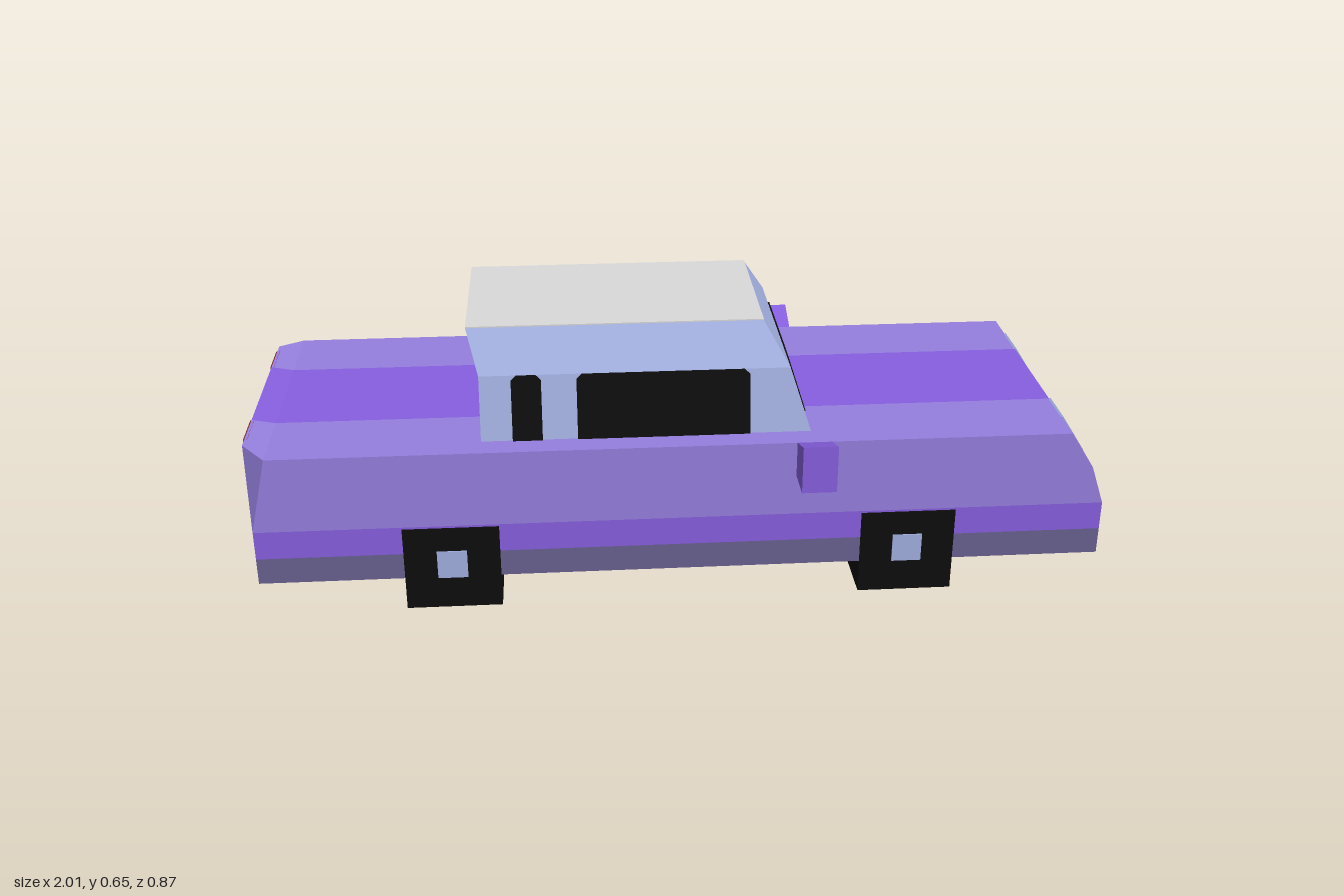
import * as THREE from 'three';

const paint = (name, color) => {
  const m = new THREE.MeshStandardMaterial({ color });
  m.name = name;
  return m;
};

// Flat-faced solid between two matching rings of [x, y, z] points (fan caps start at point 0)
function loft(a, b) {
  const pos = [], n = a.length;
  const tri = (...pts) => pts.forEach((p) => pos.push(...p));
  for (let i = 0; i < n; i++) {
    const j = (i + 1) % n;
    tri(a[i], a[j], b[j]);
    tri(a[i], b[j], b[i]);
  }
  for (let i = 1; i < n - 1; i++) {
    tri(b[0], b[i], b[i + 1]);
    tri(a[0], a[i + 1], a[i]);
  }
  const g = new THREE.BufferGeometry();
  g.setAttribute('position', new THREE.Float32BufferAttribute(pos, 3));
  g.computeVertexNormals();
  return g;
}

export function createModel() {
  const purple = paint('purple', 0x875fe0);
  const lilac = paint('lilac', 0x967fdf);
  const slate = paint('slate purple', 0x696090);
  const paleBlue = paint('pale blue', 0xa2afe0);
  const roofGrey = paint('roof grey', 0xdadada);
  const black = paint('black', 0x0d0d0d);
  const amber = paint('amber', 0xdeaa3a);
  const red = paint('dark red', 0x7a2a2a);

  const car = new THREE.Group();
  car.name = 'car';
  const add = (name, geometry, material) => {
    const mesh = new THREE.Mesh(geometry, material);
    mesh.name = name;
    car.add(mesh);
  };
  const box = (name, mat, x0, x1, y0, y1, z0, z1) => {
    const g = new THREE.BoxGeometry(x1 - x0, y1 - y0, z1 - z0);
    add(name, g.translate((x0 + x1) / 2, (y0 + y1) / 2, (z0 + z1) / 2), mat);
  };
  const ringZ = (profile, z) => profile.map(([x, y]) => [x, y, z]);
  const slab = (name, mat, z0, z1, p0, p1 = p0) =>
    add(name, loft(ringZ(p0, z0), ringZ(p1, z1)), mat);
  const slabPair = (name, mat, z0, z1, p0, p1 = p0) => {
    slab(name + 'Left', mat, z0, z1, p0, p1);
    slab(name + 'Right', mat, -z1, -z0, p1, p0);
  };

  // Upper body: side profile, counterclockwise from the rear deck
  const tail = [[-0.988, 0.215], [1, 0.215], [0.967, 0.31], [0.91, 0.4]];
  const full = [[-0.945, 0.4], [-1, 0.41], ...tail];
  const corner = [[-0.945, 0.4], [-0.945, 0.4], ...tail];
  slab('centreStripe', purple, -0.155, 0.155, full);
  slabPair('bodyPanel', lilac, 0.155, 0.29, full);
  slabPair('bodySide', lilac, 0.29, 0.35, full, corner);

  // Lamps
  slabPair('headlight', paleBlue, 0.155, 0.26, [
    [0.96, 0.308], [0.993, 0.215], [1.001, 0.216], [0.971, 0.312], [0.913, 0.402], [0.903, 0.398],
  ]);
  slabPair('tailLight', red, 0.155, 0.26, [
    [-0.994, 0.409], [-1.003, 0.409], [-0.992, 0.217], [-0.983, 0.217],
  ]);

  // Lower body, sills and floor
  box('lowerBody', purple, -0.988, 1, 0.145, 0.215, -0.35, 0.35);
  box('floorPlate', slate, -0.65, 0.65, 0.142, 0.147, -0.155, 0.155);
  box('frontBumper', amber, 0.995, 1.003, 0.145, 0.215, -0.155, 0.155);
  box('rearBumper', amber, -0.992, -0.985, 0.145, 0.215, -0.155, 0.155);
  for (const s of [-1, 1]) {
    const side = s > 0 ? 'Left' : 'Right';
    const across = (z0, z1) => (s > 0 ? [z0, z1] : [-z1, -z0]);
    box('sill' + side, slate, -0.988, 1, 0.08, 0.145, ...across(0.155, 0.35));
    // Square wheels with hubs showing on both faces
    for (const [end, x] of [['rear', -0.538], ['front', 0.535]]) {
      box(`${end}Wheel${side}`, black, x - 0.112, x + 0.112, 0, 0.21, ...across(0.153, 0.353));
      box(`${end}Hub${side}`, paleBlue, x - 0.035, x + 0.035, 0.08, 0.15, ...across(0.15, 0.356));
    }
  }

  // Mirrors, flaring upwards
  const mirrorRing = (y, z) => [[0.265, 0.315, z], [0.345, 0.315, z], [0.345, y, z], [0.265, y, z]];
  add('mirrorLeft', loft(mirrorRing(0.4, 0.35), mirrorRing(0.43, 0.437)), purple);
  add('mirrorRight', loft(mirrorRing(0.43, -0.437), mirrorRing(0.4, -0.35)), purple);

  // Cabin: stacked rings narrowing to the roof
  const ringY = (y, x0, x1, z) => [[x0, y, z], [x1, y, z], [x1, y, -z], [x0, y, -z]];
  const waist = ringY(0.55, -0.46, 0.257, 0.26);
  const eaves = ringY(0.645, -0.487, 0.2, 0.2);
  add('cabinLower', loft(ringY(0.4, -0.46, 0.305, 0.29), waist), paleBlue);
  add('cabinUpper', loft(waist, eaves), paleBlue);
  add('roof', loft(eaves, ringY(0.648, -0.487, 0.2, 0.2)), roofGrey);

  // Windows: thin plates with clipped top corners; place(u, v, d) maps onto a cabin face
  const pane = (name, u0, u1, inset, place) => {
    const c = 0.012, t0 = u0 + inset, t1 = u1 - inset;
    const outline = [[u0, 0], [u1, 0], [t1, 0.138], [t1 - c, 0.15], [t0 + c, 0.15], [t0, 0.138]];
    const ring = (d) => outline.map(([u, v]) => place(u, v, d));
    add(name, loft(ring(-0.003), ring(0.004)), black);
  };
  pane('windshield', -0.182, 0.182, 0.016, (u, v, d) => [0.305 - v * 0.32 + d, 0.4 + v, -u]);
  pane('rearWindow', -0.182, 0.182, 0.016, (u, v, d) => [-0.46 - d, 0.4 + v, u]);
  for (const [name, x0, x1] of [['rearSideWindow', -0.387, -0.318], ['doorWindow', -0.237, 0.163]]) {
    pane(name + 'Left', x0, x1, 0, (u, v, d) => [u, 0.4 + v, 0.29 - v * 0.2 + d]);
    pane(name + 'Right', -x1, -x0, 0, (u, v, d) => [-u, 0.4 + v, -0.29 + v * 0.2 - d]);
  }

  return car;
}
